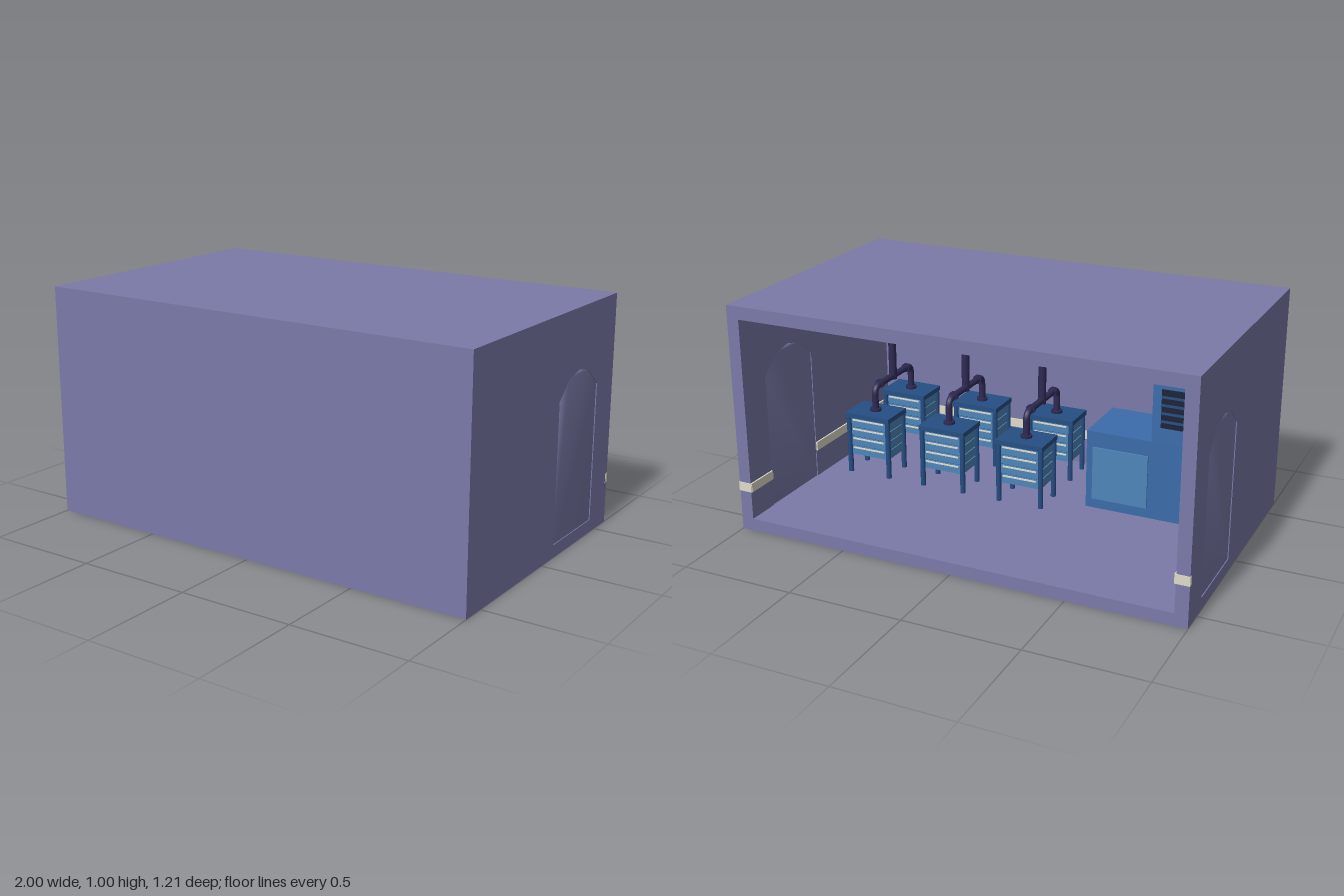
import * as THREE from 'three';
import { mergeVertices } from 'three/addons/utils/BufferGeometryUtils.js';

const mat = (name, color, side = THREE.FrontSide) => {
  const m = new THREE.MeshStandardMaterial({ color, side });
  m.name = name;
  return m;
};

export function createModel() {
  const wall = mat('lavender wall', 0x7a7aa9);
  const cream = mat('cream', 0xe0dcca);
  const steel = mat('steel blue', 0x4f86ba);
  const navy = mat('deep blue', 0x264f84);
  const machineBlue = mat('machine blue', 0x3b6cab);
  const pipeMat = mat('dark pipe', 0x2e2a54);
  const dark = mat('vent dark', 0x1c2338);

  const model = new THREE.Group();
  model.name = 'workshopRoom';
  const add = (parent, name, geo, material, x = 0, y = 0, z = 0) => {
    const m = new THREE.Mesh(geo, material);
    m.name = name;
    m.position.set(x, y, z);
    parent.add(m);
    return m;
  };
  // box given by its minimum and maximum corners
  const box = (parent, name, material, a, b) => add(parent, name,
    new THREE.BoxGeometry(b[0] - a[0], b[1] - a[1], b[2] - a[2]), material,
    (a[0] + b[0]) / 2, (a[1] + b[1]) / 2, (a[2] + b[2]) / 2);

  // room shell, open at the back
  const T = 0.055, B = -0.605, F = 0.607;
  box(model, 'floor', wall, [-1, 0, B], [1, T, F]);
  box(model, 'ceiling', wall, [-1, 1 - T, B], [1, 1, F]);
  box(model, 'frontWall', wall, [-1 + T, T, F - T], [1 - T, 1 - T, F]);

  // side walls with an arched doorway, drawn in (z, y)
  const arch = [[-0.45, T], [-0.45, 0.65], [-0.36, 0.725], [-0.275, 0.745],
    [-0.185, 0.725], [-0.1, 0.65], [-0.1, T]];
  const outline = [[B, T], ...arch, [F, T], [F, 1 - T], [B, 1 - T]];
  const panel = (pts, depth) => {
    const shape = new THREE.Shape(pts.map(p => new THREE.Vector2(p[0], p[1])));
    return new THREE.ExtrudeGeometry(shape, { depth, bevelEnabled: false })
      .translate(0, 0, -depth / 2).rotateY(-Math.PI / 2);
  };
  const wallGeo = panel(outline, T);
  let doorGeo = panel(arch, T - 0.008);
  doorGeo.deleteAttribute('normal');
  doorGeo.deleteAttribute('uv');
  doorGeo = mergeVertices(doorGeo);
  doorGeo.computeVertexNormals();

  for (const s of [1, -1]) {
    const side = s > 0 ? 'left' : 'right';
    add(model, side + 'Wall', wallGeo, wall, s * (1 - T / 2));
    add(model, side + 'ArchedDoor', doorGeo, wall, s * (1 - T / 2));
    // cream band, broken by the door and wrapped round the open wall end
    const band = (x, z0, z1, t) => add(model, side + 'Band',
      new THREE.BoxGeometry(t, 0.04, z1 - z0), cream, s * x, 0.2, (z0 + z1) / 2);
    band(1 - T - 0.003, B, -0.45, 0.008);
    band(1 - T - 0.003, -0.1, F - T, 0.008);
    band(1 - T / 2 - 0.002, B - 0.003, B + 0.002, T + 0.006);
    band(1, B - 0.003, -0.59, 0.003);
  }
  box(model, 'frontBand', cream, [-1 + T, 0.18, F - T - 0.007], [1 - T, 0.22, F - T + 0.001]);

  // ceiling light panels
  for (const x of [0.5, -0.43])
    box(model, 'ceilingLight', cream, [x - 0.33, 0.905, -0.43], [x + 0.33, 0.95, -0.08]);

  // drawer cabinets on legs, in two rows
  const legGeo = new THREE.CylinderGeometry(0.012, 0.012, 0.27, 8);
  const cabinet = (x, z) => {
    const g = new THREE.Group();
    g.name = 'cabinet';
    g.position.set(x, T, z);
    model.add(g);
    box(g, 'cabinetCore', navy, [-0.095, 0.085, -0.063], [0.095, 0.27, 0.063]);
    for (let i = 0; i < 4; i++) {
      const y = 0.087 + i * 0.045;
      box(g, 'drawer', steel, [-0.1, y, -0.07], [0.1, y + 0.04, 0.07]);
      box(g, 'drawerTrim', cream, [-0.08, y + 0.031, -0.076], [0.08, y + 0.037, -0.069]);
    }
    for (const sx of [-1, 1]) for (const sz of [-1, 1])
      add(g, 'leg', legGeo, navy, sx * 0.1, 0.135, sz * 0.07);
    box(g, 'cabinetTop', navy, [-0.112, 0.268, -0.082], [0.112, 0.29, 0.082]);
  };

  // smooth pipe through points with rounded bends
  const pipe = (name, pts, bend, r, seg) => {
    const P = pts.map(p => new THREE.Vector3(...p));
    const path = new THREE.CurvePath();
    let from = P[0];
    for (let i = 1; i < P.length - 1; i++) {
      const a = P[i].clone().add(P[i - 1].clone().sub(P[i]).setLength(bend));
      const b = P[i].clone().add(P[i + 1].clone().sub(P[i]).setLength(bend));
      path.add(new THREE.LineCurve3(from, a));
      path.add(new THREE.QuadraticBezierCurve3(a, P[i], b));
      from = b;
    }
    path.add(new THREE.LineCurve3(from, P[P.length - 1]));
    add(model, name, new THREE.TubeGeometry(path, seg, r, 14), pipeMat);
  };

  const trunkY = 0.82, trunkZ = 0.25;
  const flangeGeo = new THREE.CylinderGeometry(0.026, 0.026, 0.014, 14);
  const collarGeo = new THREE.CylinderGeometry(0.021, 0.021, 0.014, 14).rotateX(Math.PI / 2);
  for (const x of [0.735, 0.357, -0.021]) {
    for (const s of [-1, 1]) {
      const z = trunkZ + s * 0.165;
      cabinet(x, z);
      pipe('cabinetPipe', [[x, 0.34, z], [x, 0.46, z], [x, 0.46, trunkZ]], 0.04, 0.015, 40);
      add(model, 'pipeFlange', flangeGeo, pipeMat, x, 0.35, z);
      add(model, 'pipeCollar', collarGeo, pipeMat, x, 0.46, z - s * 0.045);
    }
    pipe('riserPipe', [[x, 0.445, trunkZ], [x, trunkY - 0.05, trunkZ]], 0.04, 0.018, 4);
  }

  // main duct along the room, bending down into the machine
  pipe('mainDuct', [[1 - T, trunkY, trunkZ], [-0.75, trunkY, trunkZ], [-0.75, 0.62, trunkZ]],
    0.11, 0.08, 90);
  const ringGeo = new THREE.CylinderGeometry(0.094, 0.094, 0.03, 20).rotateZ(Math.PI / 2);
  for (const x of [0.84, 0.35, -0.14, -0.62]) add(model, 'ductRing', ringGeo, pipeMat, x, trunkY, trunkZ);

  // machine: low cabinet with a taller vented tower
  box(model, 'machineBase', machineBlue, [-0.92, T, 0.12], [-0.29, 0.41, 0.42]);
  box(model, 'machinePanel', steel, [-0.57, 0.1, 0.113], [-0.32, 0.34, 0.121]);
  box(model, 'machineTower', machineBlue, [-0.92, 0.4, 0.12], [-0.58, 0.69, 0.4]);
  box(model, 'towerVent', dark, [-0.88, 0.48, 0.114], [-0.62, 0.65, 0.121]);
  for (let i = 0; i < 4; i++)
    box(model, 'ventSlat', navy, [-0.88, 0.505 + i * 0.036, 0.11], [-0.62, 0.515 + i * 0.036, 0.115]);

  return model;
}
